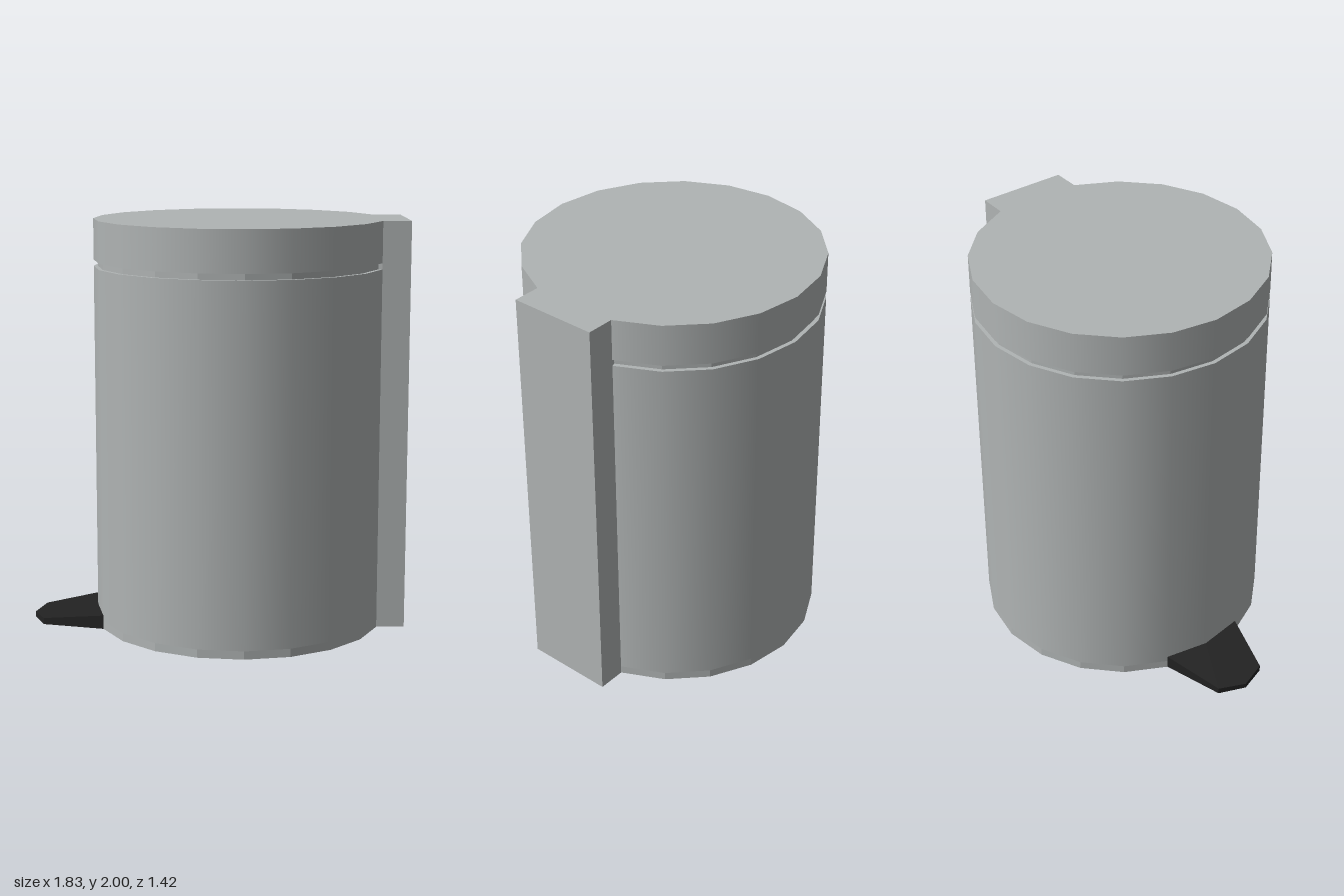
import * as THREE from 'three';

const CX = 0.105, R = 0.708, SIDES = 20;
const STEP = (Math.PI * 2) / SIDES;
const EX = R * Math.cos(STEP), EZ = R * Math.sin(STEP); // where the hinge column meets the drum

const steel = new THREE.MeshStandardMaterial({ color: 0xb0b4b4 });
steel.name = 'brushed steel grey';
const black = new THREE.MeshStandardMaterial({ color: 0x222222 });
black.name = 'pedal black';

// Prism from a plan outline of [x, z] points, between two heights
function prism(points, y0, y1) {
  const shape = new THREE.Shape(points.map(([x, z]) => new THREE.Vector2(x, -z)));
  const g = new THREE.ExtrudeGeometry(shape, { depth: y1 - y0, bevelEnabled: false });
  g.rotateX(-Math.PI / 2);
  g.translate(0, y0, 0);
  return g;
}

// Drum section that leaves out the sector filled by the hinge column
function drum(y0, y1, open = false) {
  const g = new THREE.CylinderGeometry(R, R, y1 - y0, SIDES - 2, 1, open,
    Math.PI / 2 + STEP, Math.PI * 2 - 2 * STEP);
  g.translate(CX, (y0 + y1) / 2, 0);
  return g;
}

function faceted(geometry) {
  const g = geometry.toNonIndexed();
  g.computeVertexNormals();
  return g;
}

export function createModel() {
  const model = new THREE.Group();
  model.name = 'pedalBin';
  const add = (name, geometry, material = steel) => {
    const mesh = new THREE.Mesh(geometry, material);
    mesh.name = name;
    model.add(mesh);
  };

  // Body: a faceted foot band below the smooth drum
  add('footBand', faceted(drum(0, 0.04)));
  add('body', drum(0.04, 1.77));

  // Recessed neck between body and lid
  const neck = new THREE.CylinderGeometry(0.688, 0.688, 0.03, SIDES, 1, true, Math.PI / 2);
  neck.translate(CX, 1.785, 0);
  add('neck', faceted(neck));

  // Lid
  add('lid', drum(1.8, 2));

  // Hinge column, split at the lid line
  const column = [[CX, 0], [CX + EX, EZ], [0.915, EZ], [0.915, -EZ], [CX + EX, -EZ]];
  add('hingeColumn', prism(column, 0, 1.8));
  add('lidHinge', prism(column, 1.8, 2));

  // Foot pedal, sloping down towards its pointed tip
  const pedal = prism([
    [CX - EX, EZ], [-0.868, 0.133], [-0.918, 0],
    [-0.868, -0.133], [CX - EX, -EZ], [CX - R, 0],
  ], 0, 1);
  const p = pedal.attributes.position;
  for (let i = 0; i < p.count; i++) {
    if (p.getY(i) > 0.5) p.setY(i, 0.068 + (p.getX(i) + 0.568) * 0.123);
  }
  pedal.computeVertexNormals();
  add('pedal', pedal, black);

  return model;
}
